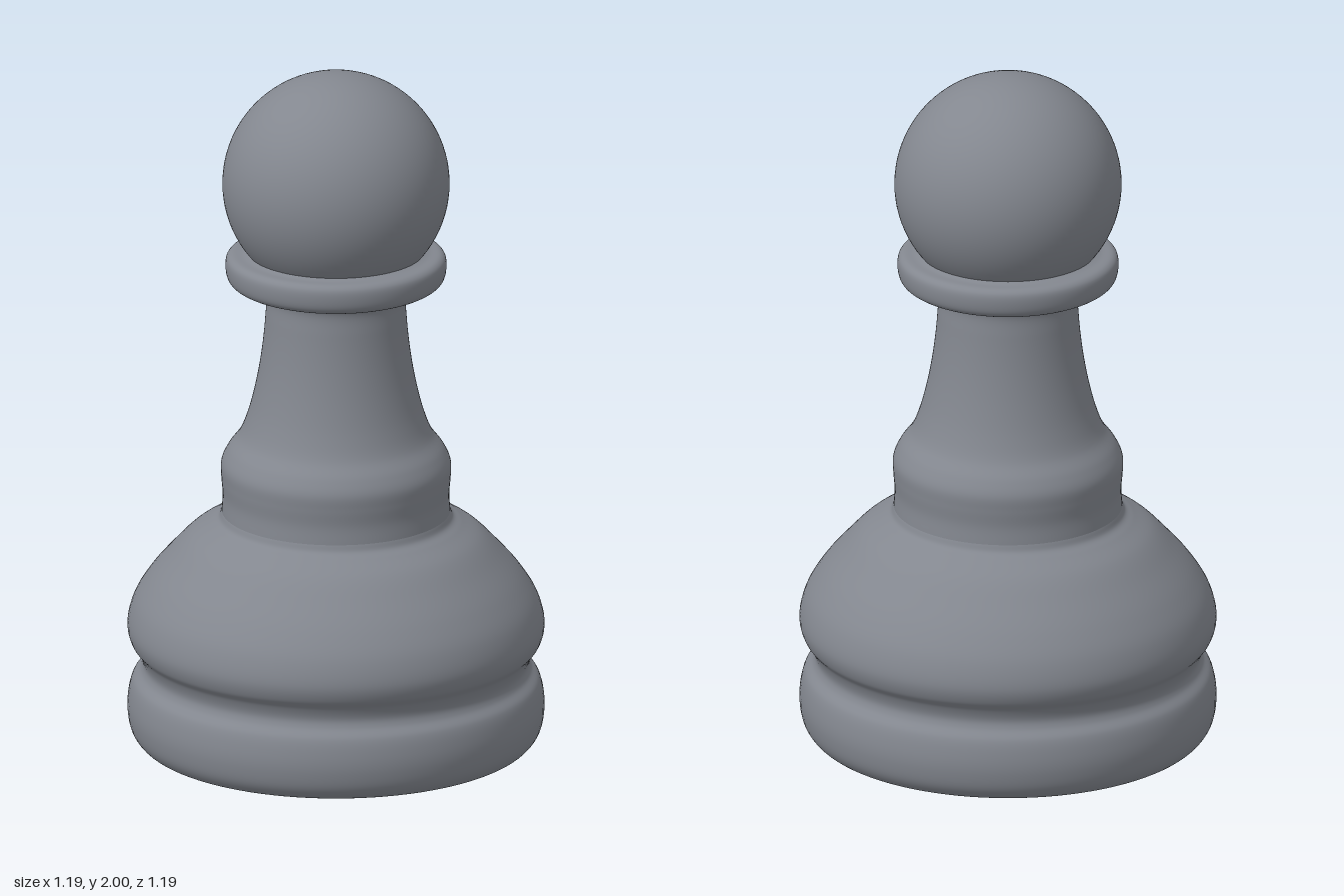
import * as THREE from 'three';

const SEGMENTS = 96;

// Turn a smooth curve through [radius, height] points, listed from bottom to top
function turned(name, points, steps, material) {
  const curve = new THREE.CatmullRomCurve3(points.map(([r, y]) => new THREE.Vector3(r, y, 0)), false, 'centripetal');
  const profile = curve.getPoints(steps).map(p => new THREE.Vector2(Math.max(p.x, 0), p.y));
  const mesh = new THREE.Mesh(new THREE.LatheGeometry(profile, SEGMENTS), material);
  mesh.name = name;
  return mesh;
}

export function createModel() {
  const group = new THREE.Group();
  group.name = 'pawn';
  const grey = new THREE.MeshStandardMaterial({ color: 0x83878f });
  grey.name = 'slate grey';

  // Underside, closing the foot
  group.add(turned('underside', [[0, 0], [0.17, 0], [0.34, 0.002], [0.52, 0.008]], 8, grey));

  // Foot ring, groove and bulging body, up to the crease at the waist
  group.add(turned('base', [
    [0.52, 0.008], [0.555, 0.02], [0.58, 0.05], [0.592, 0.1], [0.591, 0.15], [0.578, 0.2],
    [0.555, 0.228], [0.549, 0.25], [0.56, 0.285], [0.582, 0.315], [0.593, 0.36], [0.577, 0.43],
    [0.535, 0.5], [0.475, 0.57], [0.415, 0.63], [0.36, 0.664], [0.334, 0.68], [0.325, 0.7],
  ], 120, grey));

  // Waist band and tapering neck, flaring out under the collar
  group.add(turned('neck', [
    [0.325, 0.7], [0.322, 0.75], [0.326, 0.8], [0.326, 0.845], [0.308, 0.885], [0.275, 0.93],
    [0.251, 0.99], [0.228, 1.08], [0.211, 1.18], [0.201, 1.28], [0.199, 1.345], [0.21, 1.365],
    [0.24, 1.374],
  ], 90, grey));

  // Rounded collar
  group.add(turned('collar', [
    [0.24, 1.374], [0.285, 1.38], [0.306, 1.395], [0.314, 1.425], [0.311, 1.455],
    [0.298, 1.467], [0.265, 1.471], [0.25, 1.477], [0.254, 1.487],
  ], 50, grey));

  // Ball head
  const head = new THREE.Mesh(new THREE.SphereGeometry(0.323, SEGMENTS, 48), grey);
  head.name = 'head';
  head.position.y = 1.677;
  group.add(head);

  return group;
}
